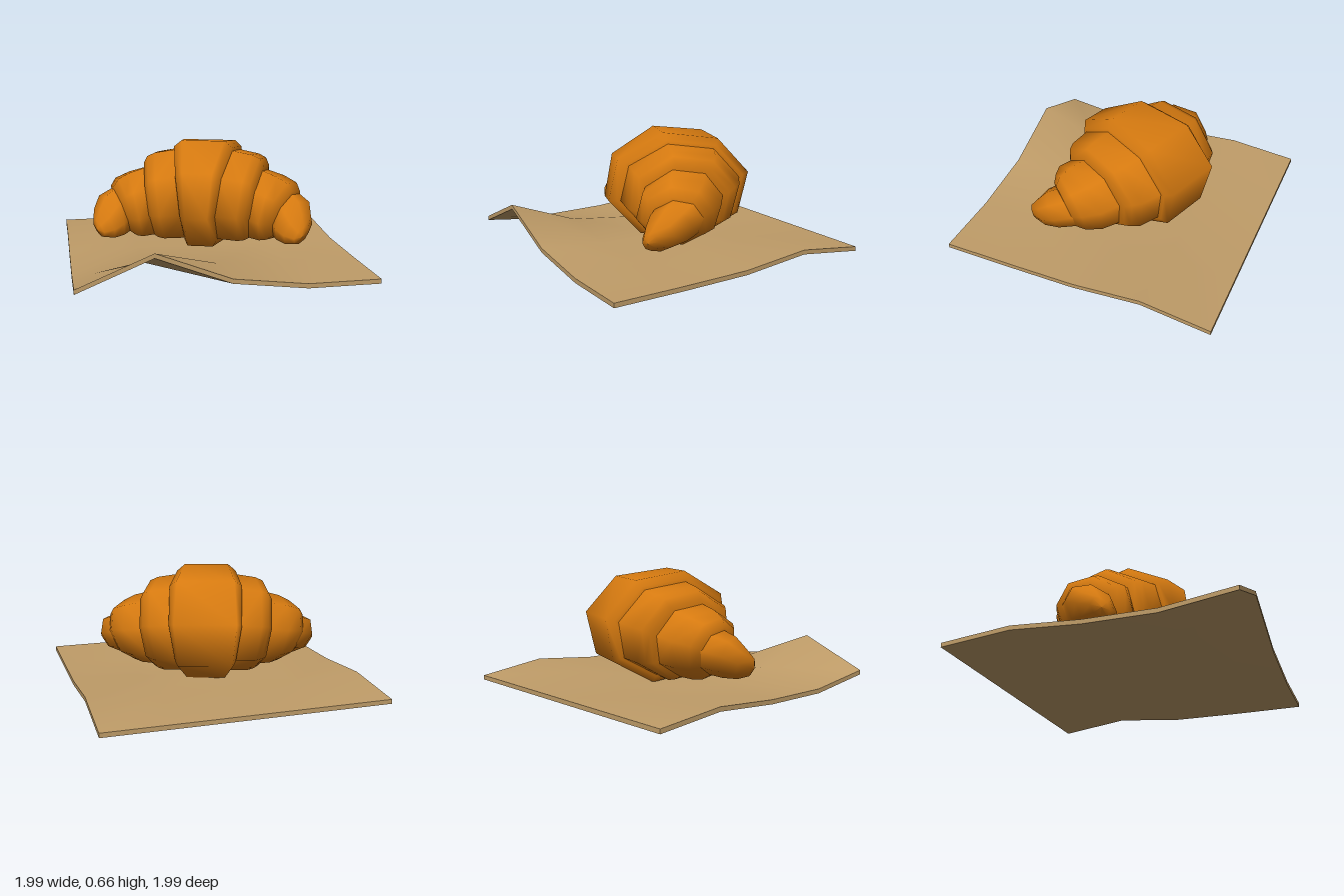
import * as THREE from 'three';

const crust = new THREE.MeshStandardMaterial({ color: 0xd67a10 });
crust.name = 'golden crust';
const paper = new THREE.MeshStandardMaterial({ color: 0xbf9c68 });
paper.name = 'brown paper';

const SIDES = 8, PHASE = 0.23;

// Loft through leaning oval rings: [x, y, z, depth radius, height radius, yaw, pitch]
function loft(name, rings, side = 1) {
  const pos = [], index = [];
  for (const [x, y, z, a, b, yaw, pitch] of rings) {
    for (let j = 0; j < SIDES; j++) {
      const t = PHASE + (j / SIDES) * Math.PI * 2;
      const p = a * Math.cos(t), q = b * Math.sin(t);
      pos.push(side * (x + p * Math.sin(yaw) + q * Math.sin(pitch)),
        y + q * Math.cos(pitch), z - p * Math.cos(yaw));
    }
  }
  for (let i = 0; i < rings.length - 1; i++) {
    for (let j = 0; j < SIDES; j++) {
      const k = (j + 1) % SIDES;
      const a = i * SIDES + j, b = i * SIDES + k, c = b + SIDES, d = a + SIDES;
      if (side > 0) index.push(a, b, c, a, c, d);
      else index.push(a, c, b, a, d, c);
    }
  }
  const geo = new THREE.BufferGeometry();
  geo.setAttribute('position', new THREE.Float32BufferAttribute(pos, 3));
  geo.setIndex(index);
  geo.computeVertexNormals();
  const mesh = new THREE.Mesh(geo, crust);
  mesh.name = name;
  return mesh;
}

// Wrinkled square sheet: a thin slab lifted at its grid points
function buildPaper() {
  const size = 1.572, thick = 0.025, n = 4;
  const lift = [ // rows run from back to front
    [0, 0, 0, 0, 0],
    [0.035, 0.015, 0.005, 0.025, 0.05],
    [0.005, 0.02, 0.005, 0.005, 0.01],
    [0, 0.065, 0.015, 0.005, 0.005],
    [0.05, 0.21, 0.055, 0.005, 0.005],
  ];
  const geo = new THREE.BoxGeometry(size, thick, size, n, 1, n);
  const p = geo.attributes.position;
  for (let i = 0; i < p.count; i++) {
    const col = Math.round((p.getX(i) / size + 0.5) * n);
    const row = Math.round((p.getZ(i) / size + 0.5) * n);
    p.setY(i, p.getY(i) + thick / 2 + lift[row][col]);
  }
  geo.rotateY(0.323);
  geo.computeVertexNormals();
  const mesh = new THREE.Mesh(geo, paper);
  mesh.name = 'paperSheet';
  return mesh;
}

export function createModel() {
  const model = new THREE.Group();
  model.name = 'croissantOnPaper';
  model.add(buildPaper());

  const pastry = new THREE.Group();
  pastry.name = 'croissant';

  // Broad middle roll, mirrored about x = 0
  const half = [
    [0.115, 0.345, -0.06, 0.413, 0.325, 0.12, 0.06],
    [0.145, 0.343, -0.06, 0.37, 0.29, 0.12, 0.12],
    [0.15, 0.34, -0.06, 0.32, 0.24, 0.12, 0.12],
  ];
  const mirrored = half.map(([x, y, z, a, b, yaw, pitch]) => [-x, y, z, a, b, -yaw, -pitch]);
  pastry.add(loft('middleRoll', [...mirrored.reverse(), ...half]));

  // Smaller rolls bending forward and down on each side
  const inner = [
    [0.13, 0.34, -0.06, 0.35, 0.275, 0.12, 0.12],
    [0.26, 0.325, -0.045, 0.325, 0.268, 0.12, 0.12],
    [0.3, 0.318, -0.035, 0.295, 0.255, 0.13, 0.14],
    [0.325, 0.305, -0.035, 0.255, 0.225, 0.13, 0.14],
    [0.33, 0.3, -0.03, 0.2, 0.18, 0.13, 0.14],
  ];
  const outer = [
    [0.31, 0.295, -0.02, 0.235, 0.212, 0.13, 0.14],
    [0.4, 0.278, 0.02, 0.235, 0.2, 0.25, 0.2],
    [0.455, 0.265, 0.045, 0.195, 0.182, 0.4, 0.28],
    [0.485, 0.255, 0.06, 0.15, 0.145, 0.45, 0.32],
    [0.49, 0.25, 0.06, 0.11, 0.1, 0.45, 0.32],
  ];
  const tip = [
    [0.48, 0.25, 0.05, 0.145, 0.135, 0.45, 0.35],
    [0.525, 0.225, 0.11, 0.135, 0.128, 0.7, 0.4],
    [0.555, 0.19, 0.17, 0.1, 0.095, 0.8, 0.4],
    [0.575, 0.17, 0.22, 0.05, 0.055, 0.8, 0.4],
    [0.58, 0.165, 0.235, 0.001, 0.001, 0.8, 0.4],
  ];
  for (const [side, label] of [[1, 'left'], [-1, 'right']]) {
    pastry.add(loft(label + 'InnerRoll', inner, side));
    pastry.add(loft(label + 'OuterRoll', outer, side));
    pastry.add(loft(label + 'Tip', tip, side));
  }
  model.add(pastry);
  return model;
}
